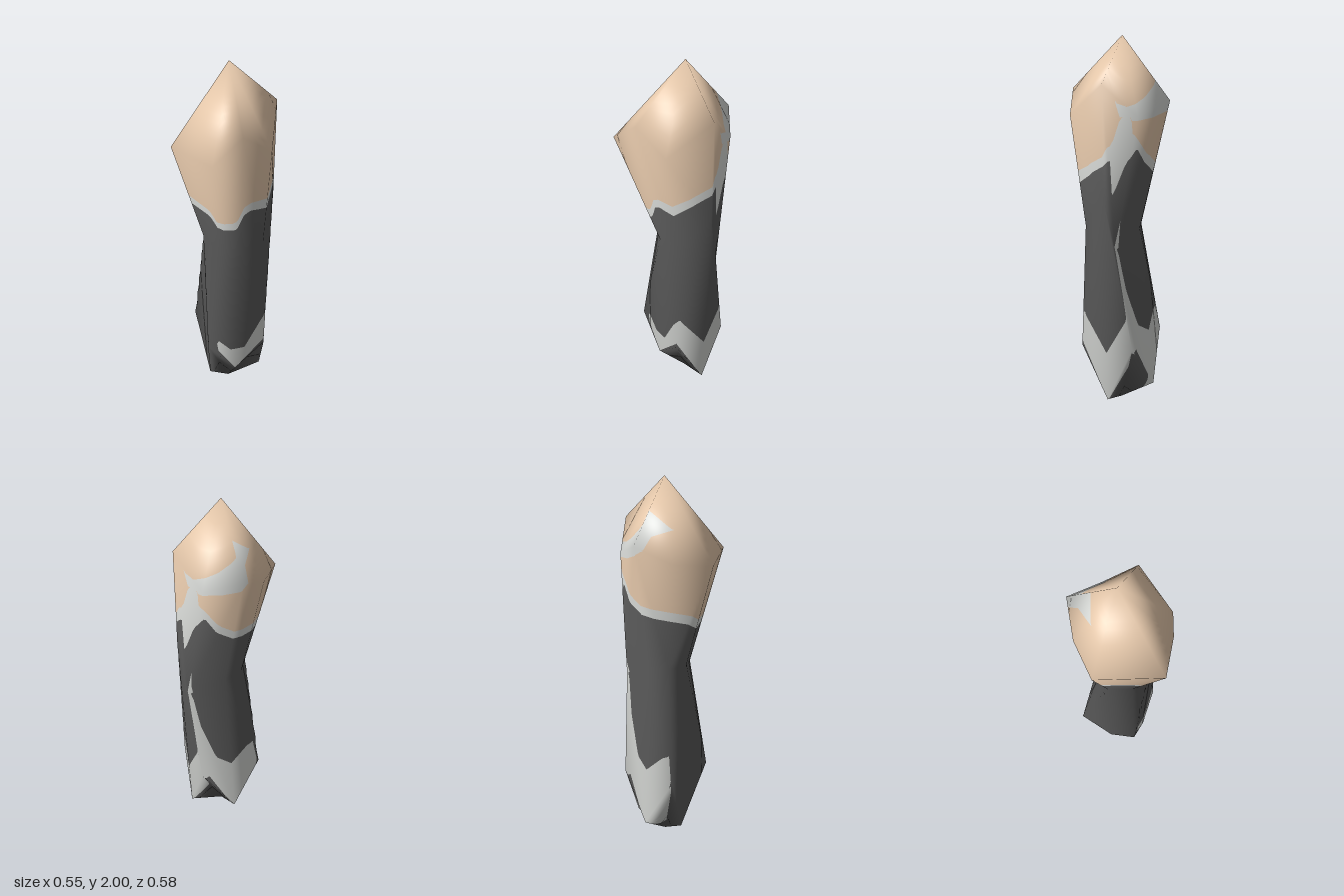
import * as THREE from 'three';

// Eight columns round the limb: +x, +x+z, +z, -x+z, -x, -x-z, -z, +x-z.
// Rows run from the bottom point to the top point.
const ring = (...p) => p.map((c) => new THREE.Vector3(...c));
const tip = (y) => Array.from({ length: 8 }, () => new THREE.Vector3(0.025, y, -0.03));
const ROWS = [
  tip(0.005),
  ring([0.215, 0.065, -0.03], [0.192, 0.35, 0.132], [0.025, 0.2, 0.14], [-0.135, 0.39, 0.145],
    [-0.085, 0.05, -0.03], [-0.137, 0.39, -0.19], [0.025, 0.12, -0.22], [0.2, 0.37, -0.168]),
  ring([0.27, 1.22, -0.03], [0.18, 1.02, 0.11], [0.05, 1.02, 0.14], [-0.055, 1.0, 0.092],
    [-0.115, 1.02, -0.03], [-0.057, 1.0, -0.107], [0.05, 1.0, -0.143], [0.24, 0.92, -0.088]),
  ring([0.275, 1.77, -0.03], [0.19, 1.6, 0.19], [0.025, 1.72, 0.255], [-0.135, 1.6, 0.29],
    [-0.275, 1.57, -0.03], [-0.135, 1.59, -0.19], [0.025, 1.68, -0.295], [0.19, 1.61, -0.19]),
  tip(2),
];

// Each cage cell is split along the diagonal that lies further out
const reach = (a, b) => Math.hypot((a.x + b.x) / 2 - 0.025, (a.z + b.z) / 2 + 0.03);
const SPLIT = [0, 1, 2, 3].map((r) => ROWS[r].map((p, k) => {
  const j = (k + 1) % 8;
  return reach(p, ROWS[r + 1][j]) > reach(ROWS[r + 1][k], ROWS[r][j]);
}));

// Smooth normals of the coarse cage
function cageNormals() {
  const N = ROWS.map((r) => r.map(() => new THREE.Vector3()));
  const add = (...ids) => {
    const [a, b, c] = ids.map(([r, k]) => ROWS[r][k]);
    const n = b.clone().sub(a).cross(c.clone().sub(a));
    ids.forEach(([r, k]) => N[r][k].add(n));
  };
  SPLIT.forEach((row, r) => row.forEach((rising, k) => {
    const j = (k + 1) % 8;
    if (rising) {
      add([r, k], [r + 1, k], [r + 1, j]);
      add([r, k], [r + 1, j], [r, j]);
    } else {
      add([r, k], [r + 1, k], [r, j]);
      add([r + 1, k], [r + 1, j], [r, j]);
    }
  }));
  N[0].forEach((n) => n.set(0, -1, 0));
  N[4].forEach((n) => n.set(0, 1, 0));
  N.forEach((row) => row.forEach((n) => n.normalize()));
  return N;
}

// Value of a cage grid at column k + f and row r + s, flat within each cage triangle
function sample(grid, k, f, r, s) {
  const j = (k + 1) % 8;
  let w; // weights of the corners: low k, low j, high k, high j
  if (SPLIT[r][k]) w = s >= f ? [1 - s, 0, s - f, f] : [1 - f, f - s, 0, s];
  else w = f + s <= 1 ? [1 - f - s, f, s, 0] : [0, 1 - s, 1 - f, f + s - 1];
  const out = new THREE.Vector3();
  [grid[r][k], grid[r][j], grid[r + 1][k], grid[r + 1][j]].forEach((v, i) => out.addScaledVector(v, w[i]));
  return out;
}

// Colour borders: [column, height] pairs round the limb
const CUTS = {
  zigzagLow: [[0, 0.06], [1, 0.38], [2, 0.2], [2.65, 0.35], [2.66, 0.4], [5.1, 0.4], [5.11, 0.28],
    [5.5, 0.1], [5.95, 0.06], [6.1, 0.13], [6.75, 0.36], [7, 0.34], [8, 0.06]],
  zigzagHigh: [[0, 0.34], [0.9, 0.55], [1.2, 0.5], [1.7, 0.34], [2.2, 0.34], [2.65, 0.42], [2.66, 0.4],
    [5.1, 0.4], [5.11, 0.54], [5.4, 0.52], [6, 0.43], [6.4, 0.48], [6.75, 0.7], [6.92, 0.95],
    [7, 1.08], [7.06, 0.66], [7.2, 0.54], [8, 0.34]],
  sleeveTop: [[0, 1.36], [0.5, 1.3], [1, 1.25], [1.6, 1.26], [1.9, 1.24], [2.15, 1.16], [2.7, 1.15],
    [3, 1.17], [3.4, 1.22], [4, 1.23], [5, 1.28], [6, 1.31], [6.5, 1.37], [6.85, 1.45], [7.1, 1.38],
    [7.3, 1.2], [7.5, 1.39], [8, 1.36]],
  cuffTop: [[0, 1.41], [0.5, 1.35], [1, 1.31], [1.6, 1.31], [1.9, 1.29], [2.15, 1.21], [2.7, 1.2],
    [3, 1.21], [3.4, 1.26], [4, 1.28], [5, 1.33], [6, 1.36], [6.5, 1.42], [6.9, 1.5], [7.08, 1.53],
    [7.15, 1.61], [7.42, 1.61], [7.52, 1.47], [8, 1.41]],
  patchLow: [[0, 1.9], [4.9, 1.745], [5.5, 1.72], [5.75, 1.66], [6, 1.63], [6.5, 1.6], [7, 1.59],
    [7.15, 1.59], [7.42, 1.6], [7.6, 1.68], [8, 1.9]],
  patchHigh: [[0, 1.9], [4.9, 1.745], [5.5, 1.84], [6, 1.86], [6.4, 1.75], [6.7, 1.7], [7, 1.67],
    [7.3, 1.66], [7.6, 1.68], [8, 1.9]],
};
const heightAt = (line, u) => {
  const i = Math.max(1, line.findIndex((p) => p[0] >= u));
  const [a, b] = [line[i - 1], line[i]];
  return a[1] + (b[1] - a[1]) * ((u - a[0]) / (b[0] - a[0]));
};

export function createModel() {
  const group = new THREE.Group();
  const mat = (name, color) => new THREE.MeshStandardMaterial({ name, color });
  const skin = mat('tan', 0xe3c6a9);
  const pale = mat('light grey', 0xd6d8d5);
  const dark = mat('dark grey', 0x5b5b5b);
  const normals = cageNormals();
  const SEG = 128, SUB = 6;

  // Fine columns with the row parameter of every colour border
  const columns = [];
  for (let i = 0; i <= SEG; i++) {
    const u = (i / SEG) * 8, k = Math.floor(u) % 8, f = u - Math.floor(u);
    const rowAt = (y) => {
      let lo = 0, hi = 4;
      for (let n = 0; n < 20; n++) {
        const t = (lo + hi) / 2, r = Math.min(3, Math.floor(t));
        if (sample(ROWS, k, f, r, t - r).y < y) lo = t;
        else hi = t;
      }
      return lo;
    };
    const cuts = [0];
    for (const line of Object.values(CUTS)) cuts.push(Math.max(cuts[cuts.length - 1], rowAt(heightAt(line, u))));
    cuts.push(4);
    columns.push({ k, f, cuts });
  }

  // One mesh for each colour band
  const bands = [['lowerTip', dark], ['zigzagStripe', pale], ['sleeve', dark], ['cuff', pale],
    ['upperBulb', skin], ['backPatch', pale], ['crown', skin]];
  bands.forEach(([name, material], b) => {
    const P = [], N = [];
    const put = (c, r, t) => {
      P.push(...sample(ROWS, c.k, c.f, r, t - r).toArray());
      N.push(...sample(normals, c.k, c.f, r, t - r).normalize().toArray());
    };
    for (let i = 0; i < SEG; i++) for (let r = 0; r < 4; r++) {
      const pair = [columns[i], columns[i + 1]];
      const span = pair.map((c) => [c.cuts[b], c.cuts[b + 1]].map((t) => THREE.MathUtils.clamp(t, r, r + 1)));
      if (span.every(([lo, hi]) => hi - lo < 1e-4)) continue;
      for (let s = 0; s < SUB; s++) {
        const t = (side, n) => THREE.MathUtils.lerp(span[side][0], span[side][1], n / SUB);
        for (const [side, n] of [[0, s], [0, s + 1], [1, s + 1], [0, s], [1, s + 1], [1, s]]) put(pair[side], r, t(side, n));
      }
    }
    const geo = new THREE.BufferGeometry();
    geo.setAttribute('position', new THREE.Float32BufferAttribute(P, 3));
    geo.setAttribute('normal', new THREE.Float32BufferAttribute(N, 3));
    const mesh = new THREE.Mesh(geo, material);
    mesh.name = name;
    group.add(mesh);
  });
  return group;
}
